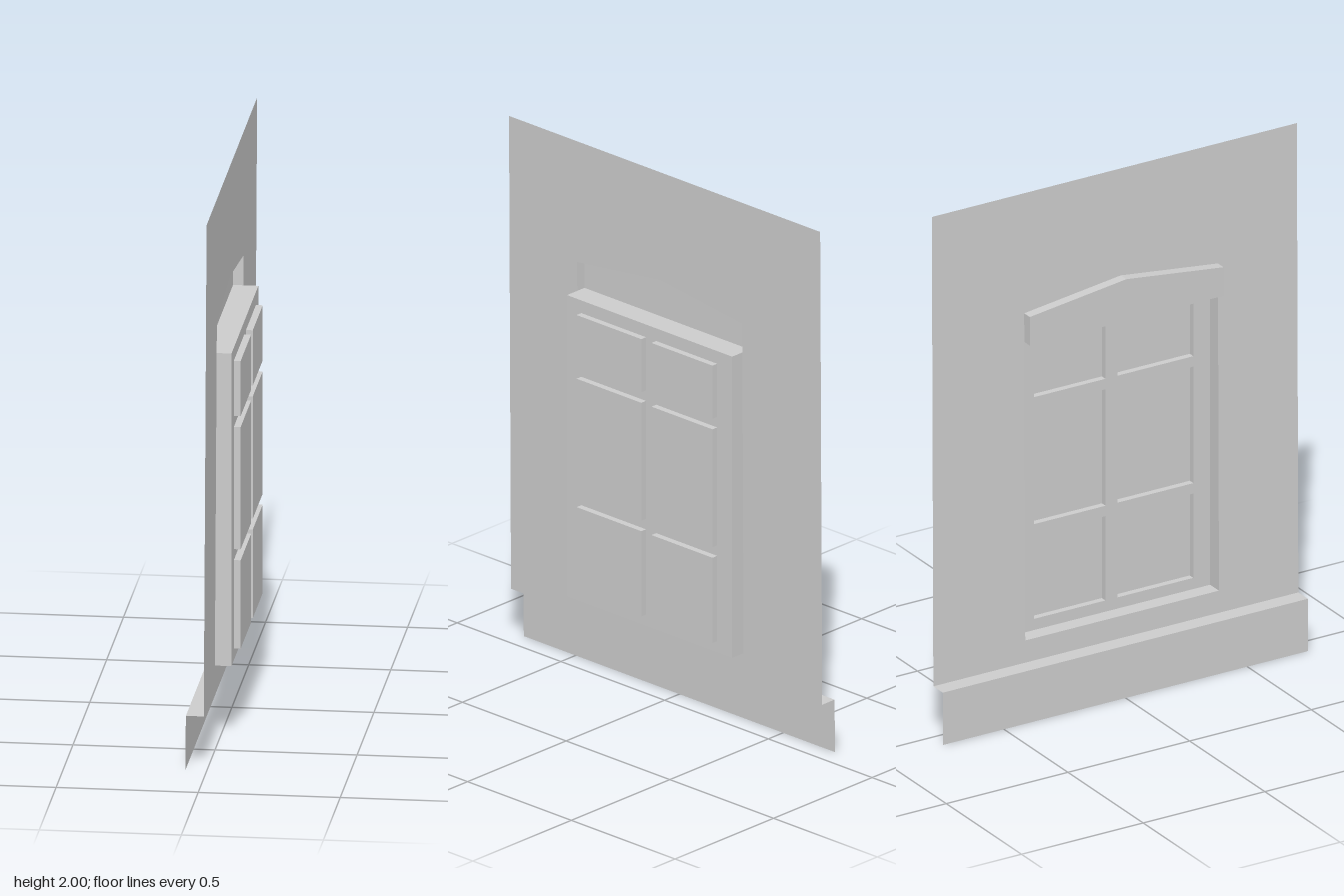
import * as THREE from 'three';

const material = new THREE.MeshStandardMaterial({ color: 0xcccccc, side: THREE.DoubleSide, flatShading: true });

// The wall sheet leans very slightly towards -x at its foot.
const wallX = (y) => -0.01 * (2 - y) / 1.8;
const at = (x) => (typeof x === 'function' ? x : () => x);

const rect = (z0, z1, y0, y1) => [[z0, y0], [z1, y0], [z1, y1], [z0, y1]];
const points = (outline) => outline.map(([z, y]) => new THREE.Vector2(-z, y));

function addMesh(group, name, geometry) {
  const mesh = new THREE.Mesh(geometry, material);
  mesh.name = name;
  group.add(mesh);
}

// Upright sheet given by a (z, y) outline with holes, standing at depth x.
function sheet(outline, holes, x) {
  const shape = new THREE.Shape(points(outline));
  holes.forEach((h) => shape.holes.push(new THREE.Path(points(h))));
  const geometry = new THREE.ShapeGeometry(shape).rotateY(Math.PI / 2);
  const pos = geometry.attributes.position;
  for (let i = 0; i < pos.count; i++) pos.setX(i, at(x)(pos.getY(i)));
  geometry.computeVertexNormals();
  return geometry;
}

// Strip joining a (z, y) path at depth xa to the same path at depth xb.
function reveal(path, xa, xb, closed = false) {
  const pts = closed ? [...path, path[0]] : path;
  const v = [];
  for (let i = 0; i < pts.length - 1; i++) {
    const [[z0, y0], [z1, y1]] = [pts[i], pts[i + 1]];
    const a = [at(xa)(y0), y0, z0], b = [at(xa)(y1), y1, z1];
    const c = [at(xb)(y1), y1, z1], d = [at(xb)(y0), y0, z0];
    v.push(...a, ...b, ...c, ...a, ...c, ...d);
  }
  const geometry = new THREE.BufferGeometry();
  geometry.setAttribute('position', new THREE.Float32BufferAttribute(v, 3));
  geometry.computeVertexNormals();
  return geometry;
}

export function createModel() {
  const model = new THREE.Group();
  model.name = 'windowWall';

  const zA = -0.372, zB = 0.424, sill = 0.285, head = 1.43;
  const frameX = 0.049, paneX = 0.073, lintelX = -0.04, plinthX = -0.073;
  const lintelTop = [[zA, head], [zA, 1.54], [0.025, 1.59], [zB, 1.54], [zB, head]];

  // Wall with one opening for the window and the gabled lintel
  const opening = [[zB, sill], [zA, sill], ...lintelTop.filter(([, y]) => y > head)];
  addMesh(model, 'wall', sheet(rect(-0.75, 0.75, 0.2, 2), [opening], wallX));

  // Plinth face and the ledge above it
  addMesh(model, 'plinth', sheet(rect(-0.75, 0.75, 0, 0.2), [], (y) => plinthX - 0.002 * (1 - y / 0.2)));
  addMesh(model, 'plinthLedge', reveal([[-0.75, 0.2], [0.75, 0.2]], wallX, plinthX));

  // Gabled lintel standing out from the wall
  addMesh(model, 'lintelFace', sheet(lintelTop, [], lintelX));
  addMesh(model, 'lintelEdge', reveal(lintelTop, wallX, lintelX));
  addMesh(model, 'windowHead', reveal([[zA, head], [zB, head]], lintelX, frameX));

  // Window recess
  addMesh(model, 'windowReveal', reveal([[zA, head], [zA, sill], [zB, sill], [zB, head]], wallX, frameX));

  // Six sunken panes in the frame
  const columns = [[-0.3, -0.006], [0.043, 0.355]];
  const rows = [[0.328, 0.652], [0.692, 1.14], [1.18, 1.382]];
  const panes = columns.flatMap(([z0, z1]) => rows.map(([y0, y1]) => rect(z0, z1, y0, y1)));
  addMesh(model, 'windowFrame', sheet(rect(zA, zB, sill, head), panes, frameX));
  panes.forEach((pane) => {
    addMesh(model, 'pane', sheet(pane, [], paneX));
    addMesh(model, 'paneReveal', reveal(pane, frameX, paneX, true));
  });

  return model;
}
